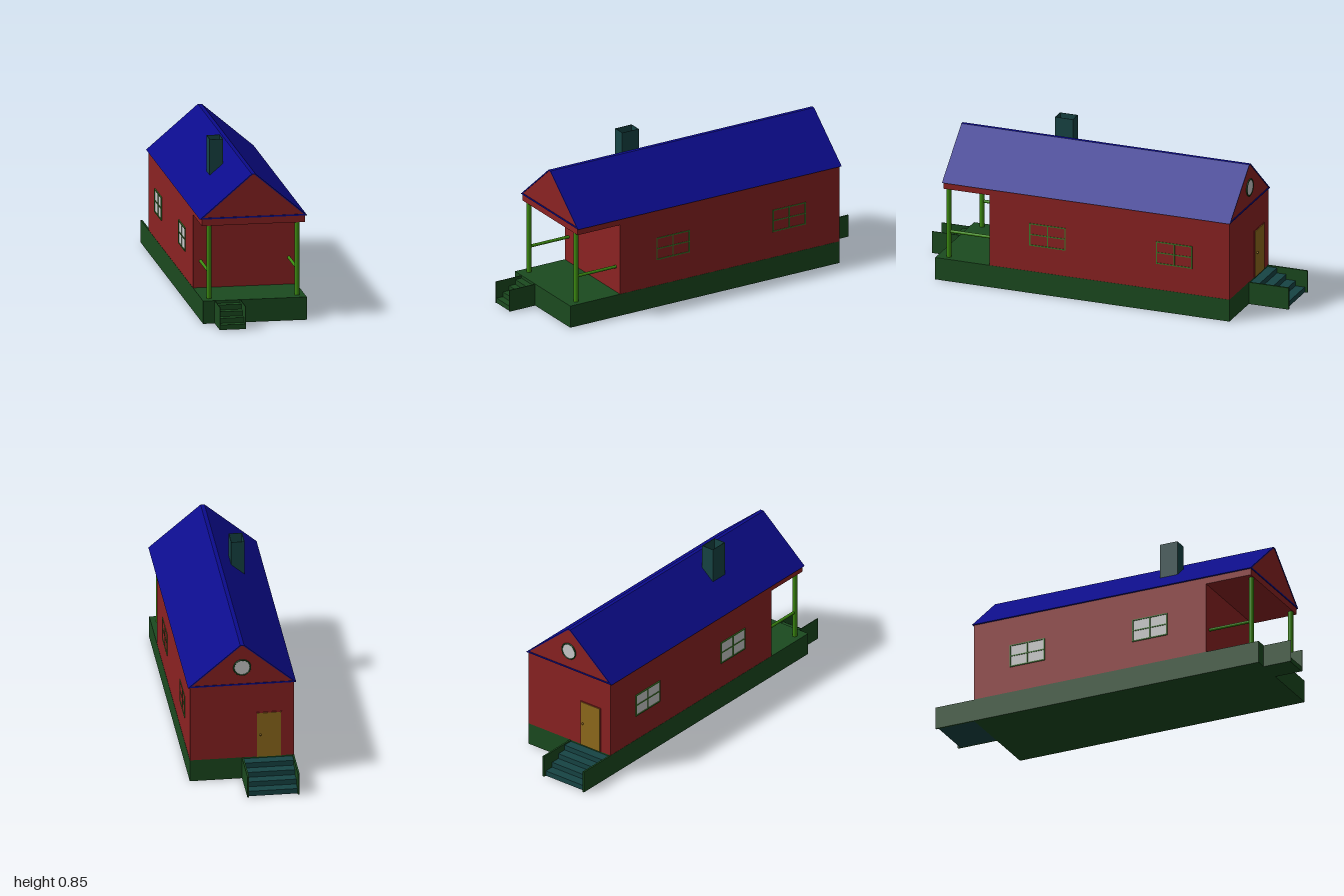
import * as THREE from 'three';

const mat = (color) => new THREE.MeshStandardMaterial({ color });
const RED = mat(0x8b2222), BLUE = mat(0x0b0b8b), GREEN = mat(0x1b4a1f), LIME = mat(0x3c8a10);
const TEAL = mat(0x174444), WOOD = mat(0x8f6a1c), GLASS = mat(0xcccccc), FRAME = mat(0x3f7a2a);

export function createModel() {
  const house = new THREE.Group();
  house.name = 'house';

  const add = (name, geo, material, parent = house) => {
    const mesh = new THREE.Mesh(geo, material);
    mesh.name = name;
    parent.add(mesh);
    return mesh;
  };
  // Box given by its lower and upper limits on each axis
  const box = (name, material, x0, x1, y0, y1, z0, z1, parent = house) => {
    const m = add(name, new THREE.BoxGeometry(x1 - x0, y1 - y0, z1 - z0), material, parent);
    m.position.set((x0 + x1) / 2, (y0 + y1) / 2, (z0 + z1) / 2);
    return m;
  };
  const poly = (pts) => pts.map(([x, y]) => new THREE.Vector2(x, y));
  const extrude = (outer, hole, depth) => {
    const shape = new THREE.Shape(poly(outer));
    if (hole) shape.holes.push(new THREE.Path(poly(hole)));
    return new THREE.ExtrudeGeometry(shape, { depth, bevelEnabled: false });
  };
  const rect = (x0, x1, y0, y1) => [[x0, y0], [x1, y0], [x1, y1], [x0, y1]];

  // Base, walls and porch ceiling
  box('foundation', GREEN, -0.27, 0.27, 0, 0.12, -0.78, 0.845);
  box('walls', RED, -0.269, 0.269, 0.12, 0.54, -0.78, 0.545);
  box('porchCeiling', RED, -0.269, 0.269, 0.505, 0.54, 0.545, 0.8);

  // Blue roof shell around a red gable core
  const inner = [[-0.262, 0.548], [0.262, 0.548], [0.006, 0.766], [-0.006, 0.766]];
  const outer = [[-0.28, 0.54], [0.28, 0.54], [0.01, 0.77], [-0.01, 0.77]];
  add('roof', extrude(outer, inner, 1.59), BLUE).position.z = -0.786;
  add('gables', extrude(inner, null, 1.584), RED).position.z = -0.783;

  // Open chimney shaft
  const shaft = extrude(rect(-0.143, -0.073, -0.32, -0.22), rect(-0.14, -0.076, -0.317, -0.223), 0.23);
  shaft.rotateX(-Math.PI / 2);
  add('chimney', shaft, TEAL).position.y = 0.615;

  // Porch posts and rails
  for (const s of [-1, 1]) {
    const post = add('porchPost', new THREE.CylinderGeometry(0.013, 0.013, 0.385, 24), LIME);
    post.position.set(s * 0.23, 0.3125, 0.785);
    const rail = add('porchRail', new THREE.CylinderGeometry(0.008, 0.008, 0.24, 16), LIME);
    rail.rotation.x = Math.PI / 2;
    rail.position.set(s * 0.23, 0.26, 0.665);
  }

  // Side windows, facing +z before being turned to the wall
  const makeWindow = () => {
    const g = new THREE.Group();
    g.name = 'sideWindow';
    const w = 0.1, h = 0.0615, t = 0.006;
    add('windowFrame', extrude(rect(-w, w, -h, h), rect(-w + t, w - t, -h + t, h - t), 0.008), FRAME, g);
    box('windowPane', GLASS, -w + t, w - t, -h + t, h - t, 0, 0.004, g);
    box('windowBar', FRAME, -0.003, 0.003, -h + t, h - t, 0, 0.007, g);
    box('windowBar', FRAME, -w + t, w - t, -0.003, 0.003, 0, 0.007, g);
    return g;
  };
  for (const z of [0.225, -0.475]) {
    for (const s of [-1, 1]) {
      const win = makeWindow();
      win.position.set(s < 0 ? -0.267 : 0.264, 0.3225, z);
      win.rotation.y = s * Math.PI / 2;
      house.add(win);
    }
  }

  // Round window in the back gable
  const pane = add('roundPane', new THREE.CylinderGeometry(0.043, 0.043, 0.006, 32), GLASS);
  pane.rotation.x = Math.PI / 2;
  pane.position.set(0, 0.642, -0.784);
  add('roundFrame', new THREE.TorusGeometry(0.043, 0.004, 8, 32), GREEN).position.set(0, 0.642, -0.786);

  // Back door with handle
  box('doorFrame', RED, -0.206, -0.074, 0.12, 0.376, -0.783, -0.775);
  box('door', WOOD, -0.202, -0.078, 0.121, 0.372, -0.786, -0.775);
  add('doorKnob', new THREE.SphereGeometry(0.006, 12, 8), WOOD).position.set(-0.094, 0.25, -0.791);

  // Stairs: a stepped profile (distance from house, height) between two thin side walls
  const stairs = (name, x0, x1, zHouse, run, wallRun, dir, top, material, t) => {
    const g = new THREE.Group();
    g.name = name;
    const steps = 4, pts = [[0, 0]];
    for (let i = 0; i < steps; i++) {
      const y = top * (1 - i / steps);
      pts.push([run * i / steps, y], [run * (i + 1) / steps, y]);
    }
    pts.push([run, 0]);
    const geo = extrude(pts.reverse(), null, x1 - x0 - 2 * t);
    geo.rotateY(dir * -Math.PI / 2);
    const flight = add(name + 'Treads', geo, material, g);
    flight.position.set(dir > 0 ? x1 - t : x0 + t, 0, zHouse);
    const zEnd = zHouse + dir * wallRun;
    for (const x of [x0, x1 - t]) {
      box(name + 'SideWall', GREEN, x, x + t, 0, 0.119, Math.min(zHouse, zEnd), Math.max(zHouse, zEnd), g);
    }
    house.add(g);
  };
  stairs('frontStairs', -0.21, -0.073, 0.845, 0.15, 0.155, 1, 0.105, GREEN, 0.004);
  stairs('backStairs', -0.27, 0, -0.78, 0.205, 0.22, -1, 0.112, TEAL, 0.009);

  return house;
}
